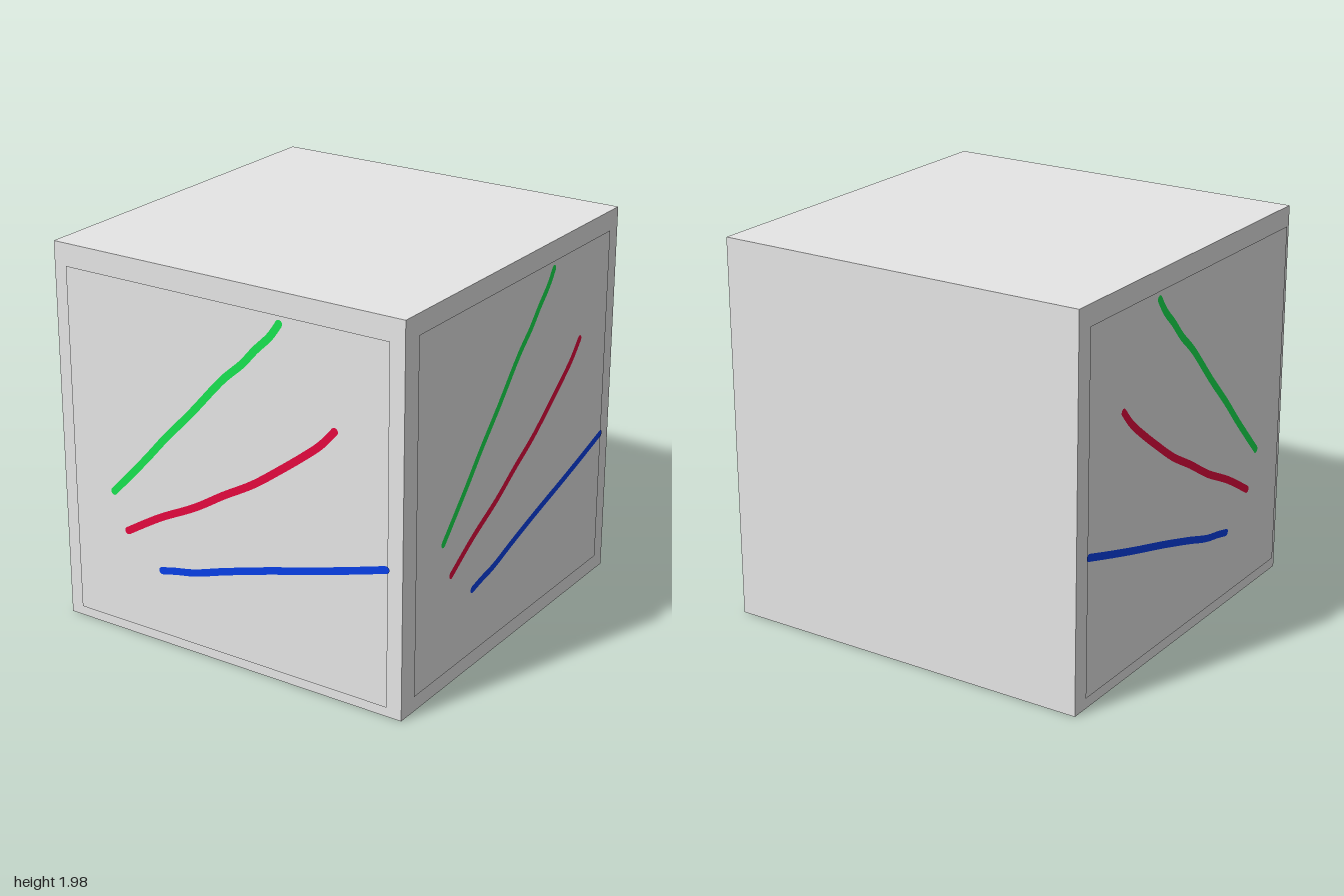
import * as THREE from 'three';

const material = (name, color, side = THREE.FrontSide) => {
  const m = new THREE.MeshStandardMaterial({ color, side });
  m.name = name;
  return m;
};

// Brush strokes as centre lines in panel fractions (u across, v up).
const STROKES = {
  green: [[0.132, 0.386], [0.24, 0.502], [0.313, 0.585], [0.401, 0.678],
    [0.497, 0.786], [0.561, 0.845], [0.605, 0.894], [0.649, 0.938], [0.678, 0.979]],
  red: [[0.175, 0.28], [0.284, 0.347], [0.401, 0.407], [0.497, 0.467], [0.591, 0.522],
    [0.678, 0.585], [0.751, 0.641], [0.801, 0.683], [0.842, 0.729]],
  blue: [[0.287, 0.191], [0.333, 0.202], [0.401, 0.216], [0.497, 0.247],
    [0.635, 0.288], [0.766, 0.324], [0.883, 0.358], [0.995, 0.392]],
};

// Flat ribbon with rounded ends along a smooth curve.
function ribbon(points, radius) {
  const curve = new THREE.SplineCurve(points);
  const left = [], right = [], steps = 40;
  for (let i = 0; i <= steps; i++) {
    const p = curve.getPoint(i / steps), t = curve.getTangent(i / steps);
    const n = new THREE.Vector2(-t.y, t.x).multiplyScalar(radius);
    left.push(p.clone().add(n));
    right.push(p.clone().sub(n));
  }
  const cap = (at) => {
    const p = curve.getPoint(at), t = curve.getTangent(at);
    const start = Math.atan2(t.y, t.x) + (at ? Math.PI / 2 : -Math.PI / 2);
    return [1, 2, 3, 4, 5].map((k) => {
      const a = start - (k * Math.PI) / 6;
      return new THREE.Vector2(p.x + radius * Math.cos(a), p.y + radius * Math.sin(a));
    });
  };
  return new THREE.ShapeGeometry(
    new THREE.Shape([...left, ...cap(1), ...right.reverse(), ...cap(0)]));
}

export function createModel() {
  const model = new THREE.Group();
  const grey = material('grey', 0xe6e6e6);
  const paints = {
    green: material('green paint', 0x18e450, THREE.DoubleSide),
    red: material('red paint', 0xe5083f, THREE.DoubleSide),
    blue: material('blue paint', 0x0840e8, THREE.DoubleSide),
  };

  // Solid block
  const block = new THREE.Mesh(new THREE.BoxGeometry(1.98, 1.98, 1.98), grey);
  block.name = 'block';
  block.position.set(0, 0.99, -0.007);
  model.add(block);

  // Panel with painted strokes; mirror flips the drawing left to right.
  function addPanel(name, width, height, position, turn, mirror) {
    const panel = new THREE.Group();
    panel.name = name;
    const sheet = new THREE.Mesh(new THREE.PlaneGeometry(width, height), grey);
    sheet.name = name + 'Sheet';
    panel.add(sheet);
    for (const [colour, line] of Object.entries(STROKES)) {
      const points = line.map(([u, v]) =>
        new THREE.Vector2((u - 0.5) * width * mirror, (v - 0.5) * height));
      const stroke = new THREE.Mesh(ribbon(points, 0.019), paints[colour]);
      stroke.name = colour + 'Stroke';
      stroke.position.z = 0.002;
      panel.add(stroke);
    }
    panel.position.set(...position);
    panel.rotation.y = turn;
    model.add(panel);
  }

  addPanel('frontPanel', 1.83, 1.815, [0.003, 0.963, 0.995], 0, 1);
  addPanel('leftPanel', 1.79, 1.797, [0.997, 0.983, -0.012], Math.PI / 2, 1);
  addPanel('rightPanel', 1.865, 1.82, [-0.997, 0.97, 0.018], -Math.PI / 2, -1);

  return model;
}
